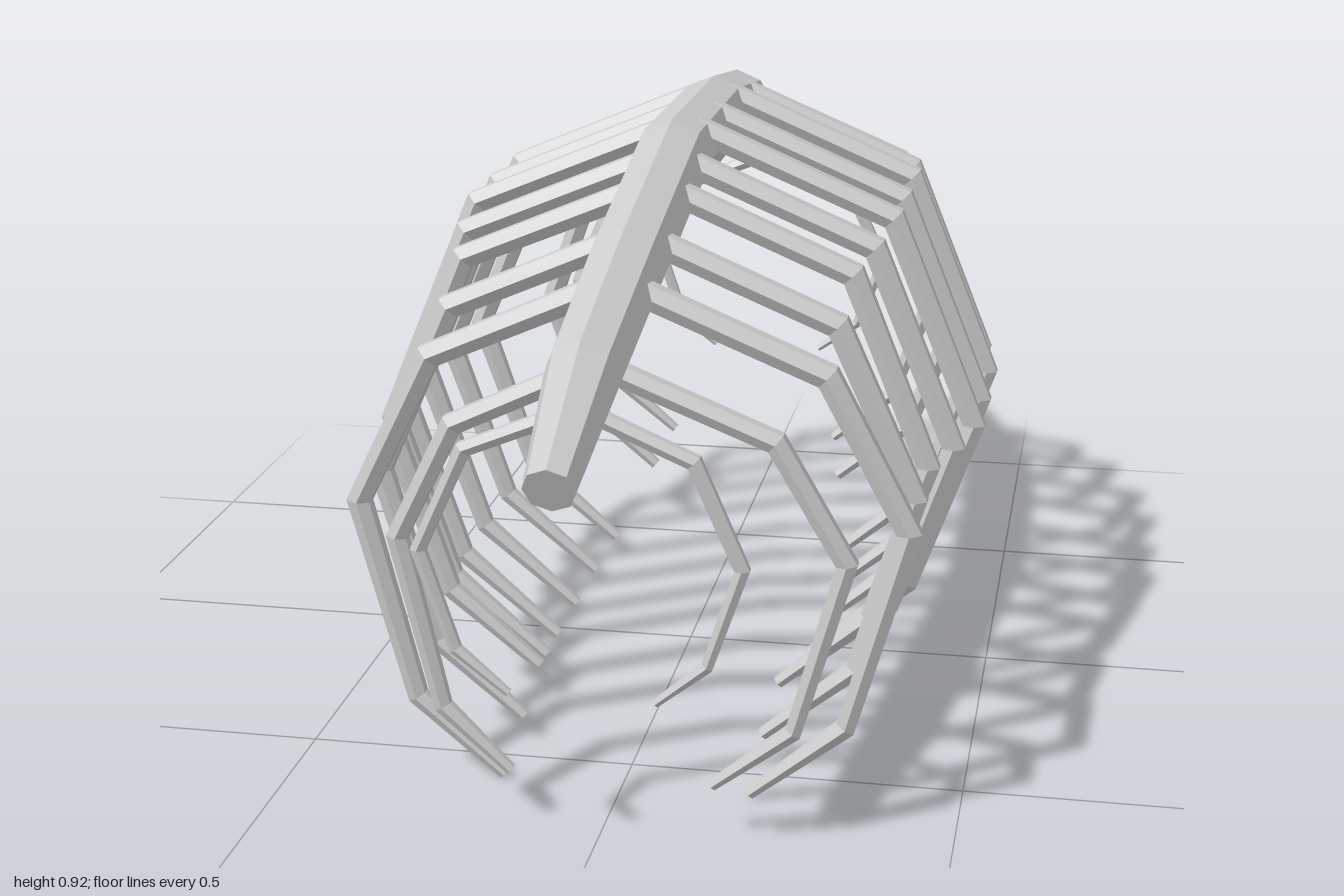
import * as THREE from 'three';

const material = new THREE.MeshStandardMaterial({
  color: 0xcccccc, flatShading: true, side: THREE.DoubleSide,
});

// Sweeps a polygon along a planar path with mitred joints; axis is the normal of the path's plane.
function sweep(points, radii, sides, phase, axis) {
  const positions = [];
  const index = [];
  const last = points.length - 1;
  points.forEach((p, i) => {
    const before = points[Math.max(i, 1)].clone().sub(points[Math.max(i, 1) - 1]).normalize();
    const k = Math.min(i, last - 1);
    const after = points[k + 1].clone().sub(points[k]).normalize();
    const tangent = before.clone().add(after).normalize();
    const normal = axis.clone().cross(tangent);
    const mitre = 1 / tangent.dot(after);
    for (let j = 0; j < sides; j++) {
      const a = phase + (j / sides) * Math.PI * 2;
      const v = p.clone()
        .addScaledVector(normal, Math.cos(a) * radii[i] * mitre)
        .addScaledVector(axis, Math.sin(a) * radii[i]);
      positions.push(v.x, v.y, v.z);
    }
  });
  for (let i = 0; i < last; i++) {
    for (let j = 0; j < sides; j++) {
      const a = i * sides + j;
      const b = i * sides + ((j + 1) % sides);
      index.push(a, b, b + sides, a, b + sides, a + sides);
    }
  }
  // End caps
  const end = last * sides;
  for (let j = 1; j < sides - 1; j++) {
    index.push(0, j + 1, j, end, end + j, end + j + 1);
  }
  const geometry = new THREE.BufferGeometry();
  geometry.setAttribute('position', new THREE.Float32BufferAttribute(positions, 3));
  geometry.setIndex(index);
  geometry.computeVertexNormals();
  return geometry;
}

// Arched backbone: z, y, radius
const SPINE = [
  [0.985, 0.612, 0.036], [0.78, 0.703, 0.054], [0.51, 0.775, 0.06], [0.14, 0.86, 0.062],
  [-0.23, 0.86, 0.062], [-0.47, 0.83, 0.06], [-0.89, 0.672, 0.046], [-0.985, 0.62, 0.034],
];

// Rib pairs: z, left reach, right reach, top, bottom
const RIBS = [
  [0.83, 0.23, 0.235, 0.675, 0.25],
  [0.71, 0.36, 0.305, 0.70, 0.075],
  [0.575, 0.435, 0.405, 0.78, 0.0],
  [0.435, 0.43, 0.415, 0.815, 0.03],
  [0.285, 0.435, 0.44, 0.855, 0.05],
  [0.185, 0.465, 0.47, 0.88, 0.025],
  [0.065, 0.488, 0.49, 0.905, 0.01],
  [-0.075, 0.488, 0.49, 0.905, 0.01],
  [-0.235, 0.488, 0.49, 0.905, 0.01],
  [-0.38, 0.468, 0.472, 0.885, 0.02],
  [-0.555, 0.41, 0.382, 0.84, 0.105],
  [-0.70, 0.35, 0.357, 0.775, 0.13],
  [-0.825, 0.24, 0.22, 0.665, 0.27],
];

// One rib, bent at three joints and tapering to its tip
function ribGeometry(side, z, reach, top, bottom) {
  const height = top - bottom;
  const size = reach < 0.3 ? 0.6 : reach < 0.37 ? 0.85 : 1;
  const elbow = reach < 0.3 ? 0.46 : 0.43;
  const path = [
    [0.02, top - 0.01],
    [0.70 * reach - 0.006, top - 0.16 * height],
    [reach - 0.017 * size, elbow],
    [0.78 * reach - 0.007, bottom + 0.16 * height],
    [0.44 * reach, bottom + 0.008],
  ].map(([x, y]) => new THREE.Vector3(side * x, y, z));
  const radii = [0.021, 0.02, 0.019, 0.016, 0.01].map((r) => r * size);
  return sweep(path, radii, 6, Math.PI / 6, new THREE.Vector3(0, 0, 1));
}

export function createModel() {
  const model = new THREE.Group();
  model.name = 'ribcage';

  const spine = new THREE.Mesh(
    sweep(
      SPINE.map(([z, y]) => new THREE.Vector3(-0.004, y, z)),
      SPINE.map((s) => s[2]), 8, 0, new THREE.Vector3(1, 0, 0),
    ),
    material,
  );
  spine.name = 'spine';
  model.add(spine);

  RIBS.forEach(([z, left, right, top, bottom], i) => {
    const pair = new THREE.Group();
    pair.name = `ribPair${i + 1}`;
    [[1, left, 'leftRib'], [-1, right, 'rightRib']].forEach(([side, reach, name]) => {
      const rib = new THREE.Mesh(ribGeometry(side, z, reach, top, bottom), material);
      rib.name = name;
      pair.add(rib);
    });
    model.add(pair);
  });

  return model;
}
